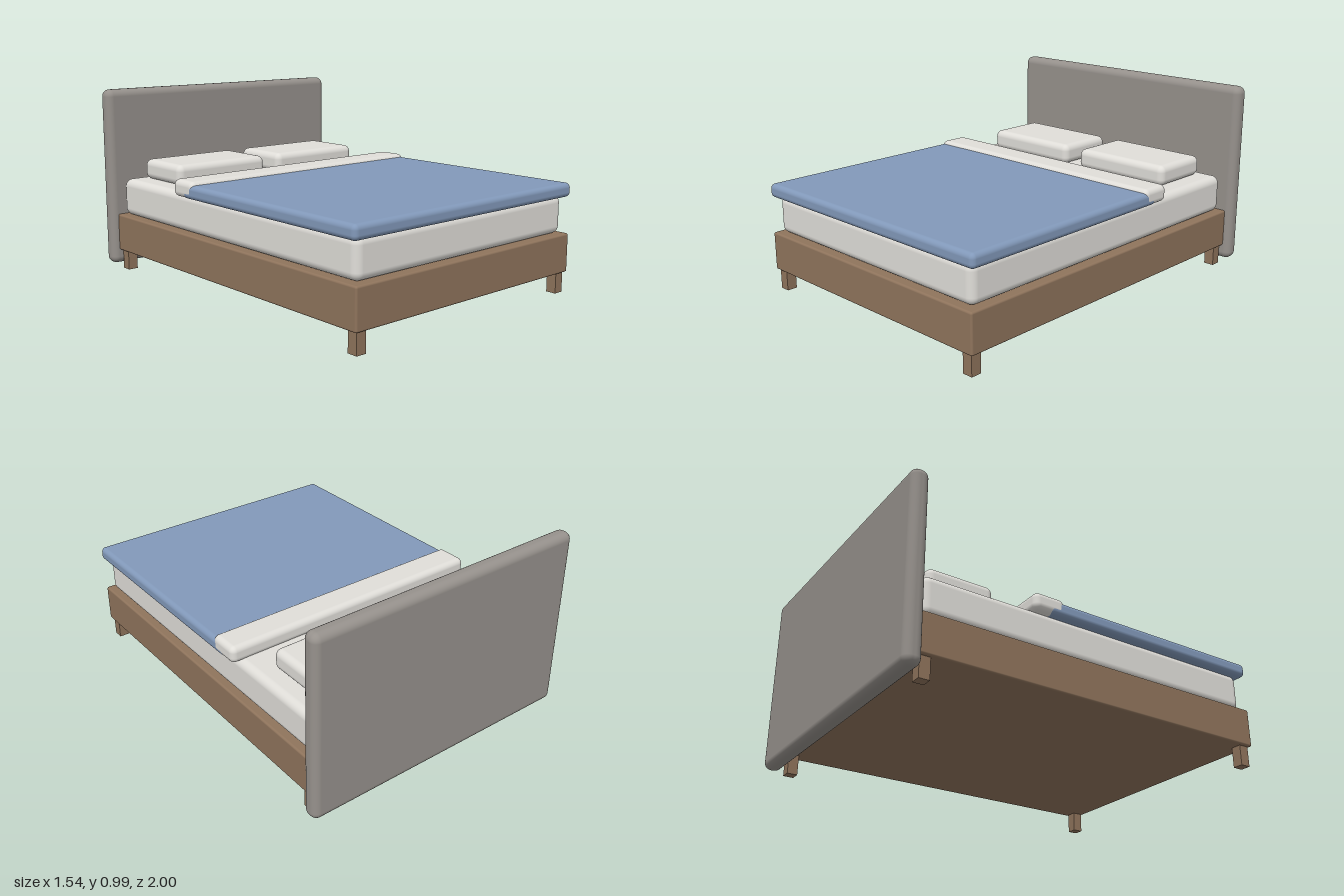
import * as THREE from 'three';
import { RoundedBoxGeometry } from 'three/addons/geometries/RoundedBoxGeometry.js';

const material = (color) => new THREE.MeshStandardMaterial({ color });

export function createModel() {
  const bed = new THREE.Group();
  bed.name = 'bed';

  const wood = material(0x8f745c);
  const upholstery = material(0x96918c);
  const linen = material(0xe0ded9);
  const blanketBlue = material(0x8299ba);

  // Box between two corners; a radius rounds its edges
  function addBox(name, [x0, y0, z0], [x1, y1, z1], radius, mat) {
    const size = [x1 - x0, y1 - y0, z1 - z0];
    const geometry = radius
      ? new RoundedBoxGeometry(...size, 5, radius)
      : new THREE.BoxGeometry(...size);
    const mesh = new THREE.Mesh(geometry, mat);
    mesh.name = name;
    mesh.position.set((x0 + x1) / 2, (y0 + y1) / 2, (z0 + z1) / 2);
    bed.add(mesh);
  }

  // Frame and headboard
  addBox('bedFrame', [-0.732, 0.105, -0.92], [0.732, 0.305, 1], 0.01, wood);
  addBox('headboard', [-0.77, 0.027, -1], [0.77, 0.988, -0.912], 0.038, upholstery);

  // Four square legs
  for (const [side, x] of [['left', 0.687], ['right', -0.687]]) {
    for (const [end, z] of [['Front', 0.958], ['Back', -0.878]]) {
      addBox(`${side}${end}Leg`, [x - 0.027, 0, z - 0.027], [x + 0.027, 0.115, z + 0.027], 0, wood);
    }
  }

  // Mattress, blanket and the folded-back sheet
  addBox('mattress', [-0.705, 0.305, -0.895], [0.705, 0.503, 0.972], 0.04, linen);
  addBox('blanket', [-0.742, 0.49, -0.255], [0.742, 0.562, 1], 0.025, blanketBlue);
  addBox('sheetFold', [-0.7425, 0.491, -0.338], [0.7425, 0.579, -0.168], 0.03, linen);

  // Pair of pillows
  for (const [side, x] of [['left', 0.328], ['right', -0.328]]) {
    addBox(`${side}Pillow`, [x - 0.283, 0.503, -0.826], [x + 0.283, 0.611, -0.479], 0.035, linen);
  }

  return bed;
}
